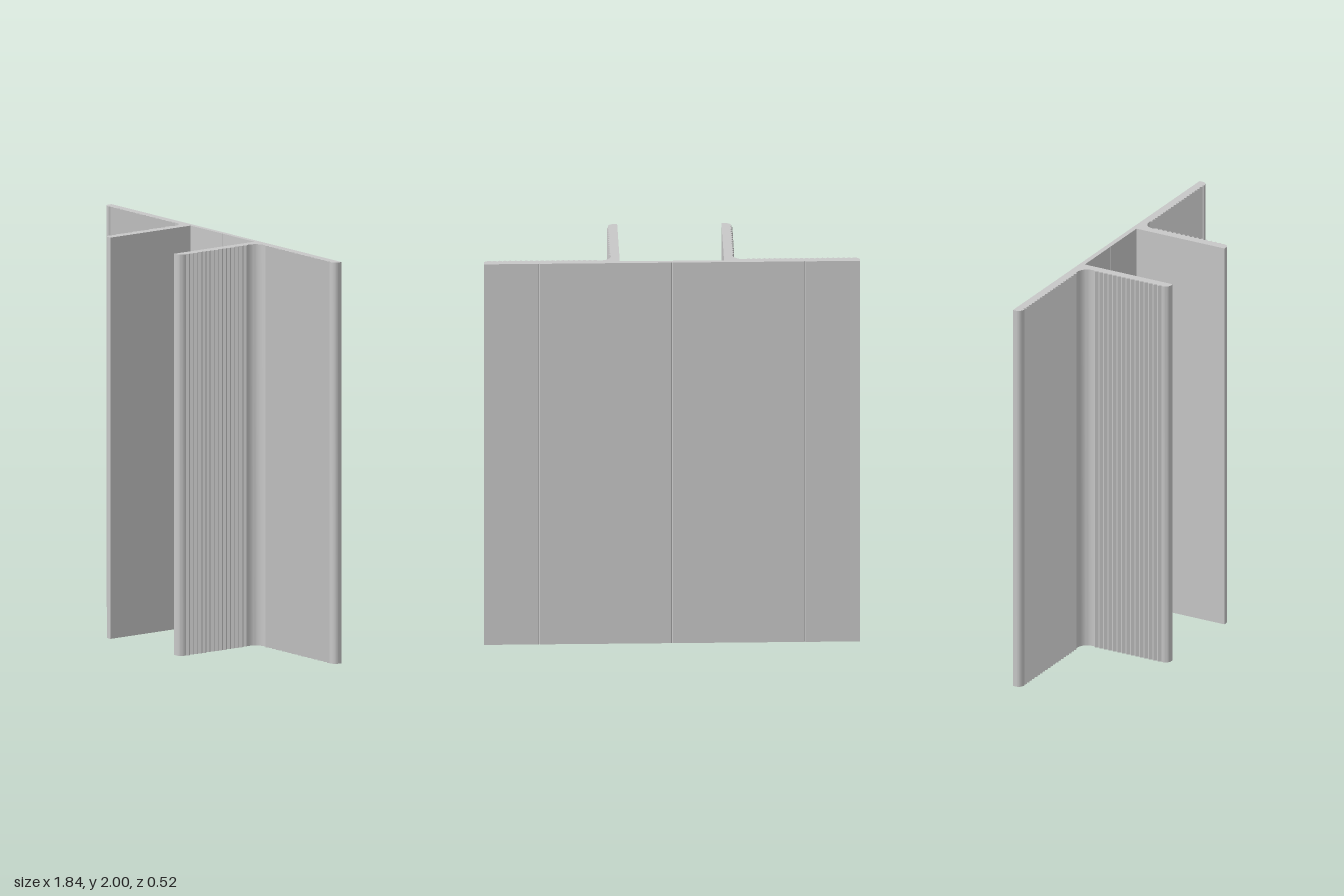
import * as THREE from 'three';
import { toCreasedNormals } from 'three/addons/utils/BufferGeometryUtils.js';

const HEIGHT = 2;
const BACK = -0.26;      // rear face of the flange
const PITCH = 0.026;     // spacing of the grip ribs
const RIB = 0.01;        // rib height

// Points on an elliptical arc, angles in degrees
function arc(cx, cz, rx, rz, from, to, steps = 8) {
  return Array.from({ length: steps + 1 }, (_, i) => {
    const a = THREE.MathUtils.degToRad(from + (to - from) * i / steps);
    return [cx + rx * Math.cos(a), cz + rz * Math.sin(a)];
  });
}

// Row of V-shaped ribs: calls point(along, outward) for each profile point
function ribs(from, to, point) {
  const count = Math.round(Math.abs(to - from) / PITCH);
  const step = (to - from) / count;
  const pts = [];
  for (let i = 0; i < count; i++) {
    pts.push(point(from + i * step, 0), point(from + (i + 0.5) * step, RIB));
  }
  pts.push(point(to, 0));
  return pts;
}

// Small V groove in the rear face
const rearGroove = x => [[x - 0.003, BACK], [x, BACK + 0.003], [x + 0.003, BACK]];

// Right half of the cross-section as [x, z], rear centre to front centre
function halfProfile() {
  return [
    [0, BACK + 0.004], [0.004, BACK],
    ...rearGroove(0.65),
    [0.92, BACK],
    ...arc(0.885, -0.24, 0.035, 0.026, 0, 90),              // rounded flange edge
    ...ribs(0.88, 0.362, (x, h) => [x, -0.222 + h]),        // flange ribs
    ...arc(0.352, -0.167, 0.055, 0.055, 270, 180, 10),      // inside fillet
    ...ribs(-0.16, 0.22, (z, h) => [0.297 + h, z]),         // leg ribs
    ...arc(0.275, 0.225, 0.027, 0.035, 0, 90),              // rounded leg tip
    [0.255, 0.26], [0.255, -0.235],
    [0.005, -0.235], [0, -0.239],                           // front centre groove
  ];
}

export function createModel() {
  const group = new THREE.Group();
  group.name = 'trimExtrusion';

  const metal = new THREE.MeshStandardMaterial({ color: 0xc7c7c7 });
  metal.name = 'plain light grey metal';

  // Mirror the half profile; points on the centre line are used once
  const half = halfProfile();
  const mirrored = half.slice(1, -1).reverse().map(([x, z]) => [-x, z]);
  const shape = new THREE.Shape([...half, ...mirrored].map(([x, z]) => new THREE.Vector2(x, -z)));

  let geometry = new THREE.ExtrudeGeometry(shape, { depth: HEIGHT, bevelEnabled: false });
  geometry.rotateX(-Math.PI / 2);
  geometry = toCreasedNormals(geometry, 0.45);

  const profile = new THREE.Mesh(geometry, metal);
  profile.name = 'ribbedDoubleLegProfile';
  group.add(profile);
  return group;
}
